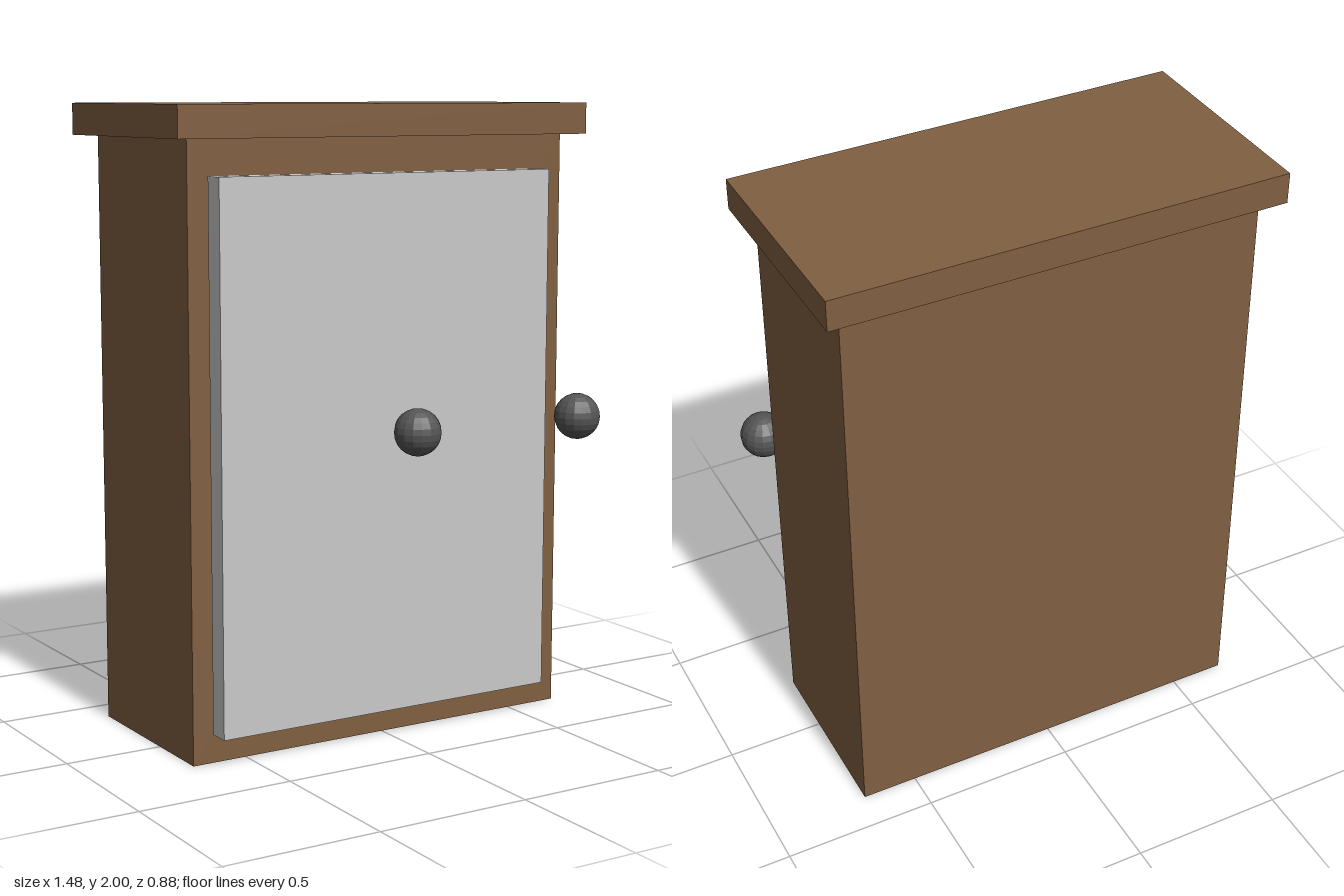
import * as THREE from 'three';

export function createModel() {
  const model = new THREE.Group();
  model.name = 'cabinet';

  const material = (name, color, flatShading = false) => {
    const m = new THREE.MeshStandardMaterial({ color, flatShading });
    m.name = name;
    return m;
  };
  const wood = material('brown wood', 0x805f41);
  const panel = material('light grey panel', 0xc9c9c9);
  const metal = material('dark grey metal', 0x555555, true);

  const add = (name, geometry, mat, x, y, z) => {
    const mesh = new THREE.Mesh(geometry, mat);
    mesh.name = name;
    mesh.position.set(x, y, z);
    model.add(mesh);
  };

  // Cabinet body and overhanging top
  add('body', new THREE.BoxGeometry(1.364, 1.9, 0.605), wood, 0, 0.95, -0.075);
  add('topBoard', new THREE.BoxGeometry(1.482, 0.1, 0.726), wood, 0, 1.95, -0.075);

  // Door stands slightly proud of the body and is offset to one side
  add('door', new THREE.BoxGeometry(1.195, 1.695, 0.07), panel, -0.025, 0.943, 0.281);

  // Two faceted round knobs
  const knob = new THREE.SphereGeometry(0.075, 16, 12);
  add('doorKnob', knob, metal, 0.043, 0.99, 0.363);
  add('sideKnob', knob, metal, 0.666, 0.99, 0.363);

  return model;
}
